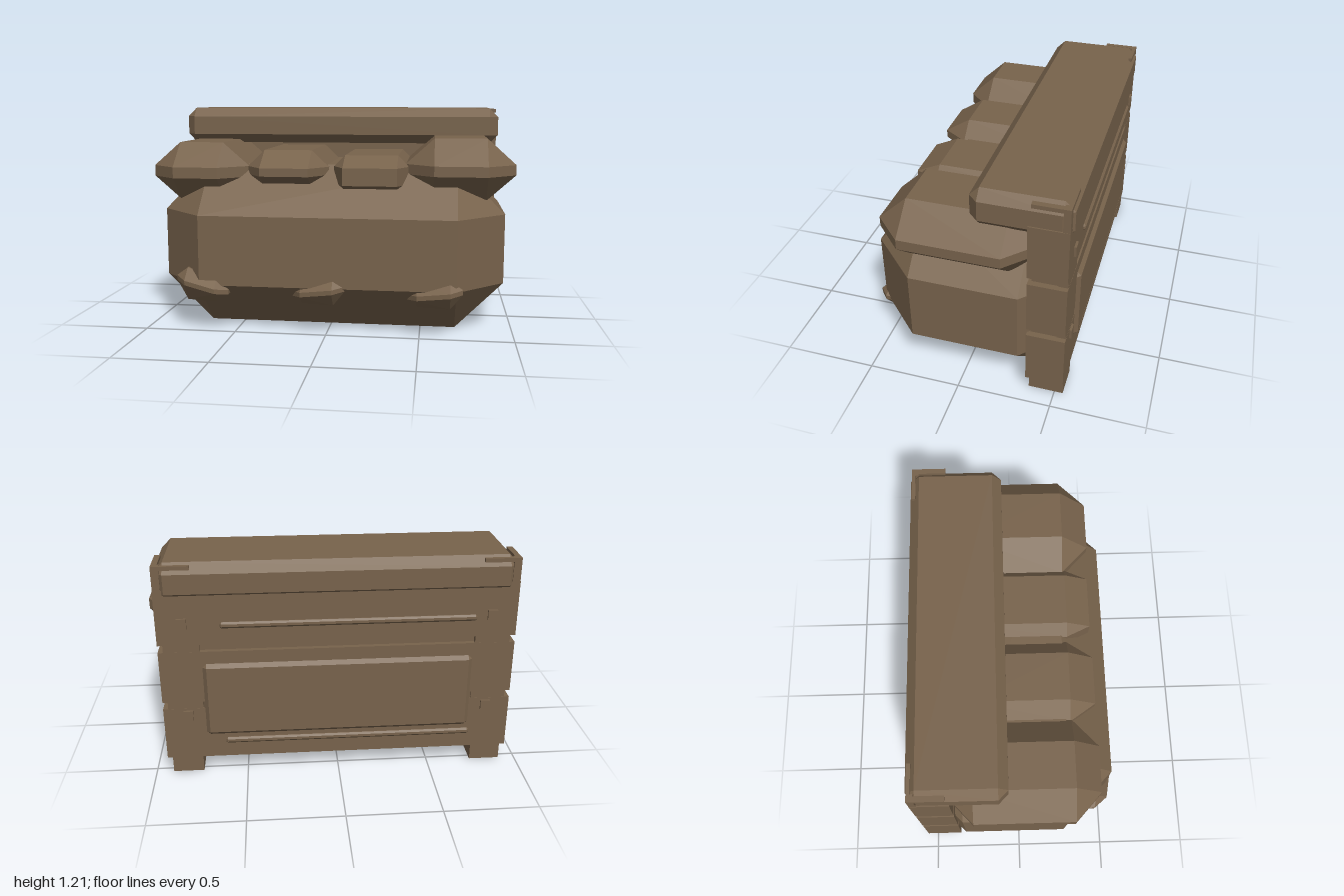
import * as THREE from 'three';
import { ConvexGeometry } from 'three/addons/geometries/ConvexGeometry.js';

export function createModel() {
  const model = new THREE.Group();
  const canvasBrown = new THREE.MeshStandardMaterial({ color: 0x78634c });
  canvasBrown.name = 'canvasBrown';

  const add = (name, geometry) => {
    const mesh = new THREE.Mesh(geometry, canvasBrown);
    mesh.name = name;
    model.add(mesh);
    return mesh;
  };

  // Plain box given by its limits
  const box = (name, x0, x1, y0, y1, z0, z1) => {
    const g = new THREE.BoxGeometry(x1 - x0, y1 - y0, z1 - z0);
    g.translate((x0 + x1) / 2, (y0 + y1) / 2, (z0 + z1) / 2);
    return add(name, g);
  };

  // Box with cut edges and corners; warp may shift each corner point
  const chamferBox = (name, [x0, x1], [y0, y1], [z0, z1], [cx, cy, cz], warp) => {
    const points = [];
    for (const i of [0, 1]) for (const j of [0, 1]) for (const k of [0, 1]) {
      const x = i ? x1 : x0, y = j ? y1 : y0, z = k ? z1 : z0;
      const xi = i ? x1 - cx : x0 + cx, yi = j ? y1 - cy : y0 + cy, zi = k ? z1 - cz : z0 + cz;
      points.push(
        new THREE.Vector3(x, yi, zi),
        new THREE.Vector3(xi, y, zi),
        new THREE.Vector3(xi, yi, z)
      );
    }
    if (warp) points.forEach(warp);
    return add(name, new ConvexGeometry(points));
  };

  // Main bag, whose back pokes through the frame as a raised panel
  chamferBox('bagBody', [-0.95, 0.95], [0, 0.9], [-0.57, 0.52], [0.26, 0.26, 0.26]);

  // Four bulging rolls lying on the bag
  const rolls = [
    [[-1.0, -0.455], [0.7, 1.02], [-0.38, 0.43], [0.15, 0.13, 0.14]],
    [[-0.465, -0.01], [0.755, 0.98], [-0.38, 0.425], [0.095, 0.09, 0.14]],
    [[0.02, 0.43], [0.74, 0.955], [-0.38, 0.42], [0.06, 0.06, 0.13]],
    [[0.41, 1.0], [0.715, 1.05], [-0.39, 0.43], [0.155, 0.14, 0.15]]
  ];
  rolls.forEach((r) => chamferBox('roll', ...r));

  // Lid along the top of the back
  chamferBox('lid', [-0.925, 0.925], [1.0, 1.205], [-0.56, -0.055], [0.05, 0.05, 0.05]);

  // Back frame: recessed core with three broad planks
  box('frameCore', -0.9, 0.9, 0.11, 1.06, -0.525, -0.365);
  for (const [y0, y1] of [[0.1, 0.4], [0.44, 0.73], [0.77, 1.07]]) {
    box('framePlank', -0.932, 0.932, y0, y1, -0.55, -0.35);
  }

  for (const s of [-1, 1]) {
    const side = (name, a, b, ...rest) =>
      box(name, Math.min(s * a, s * b), Math.max(s * a, s * b), ...rest);

    // Posts closing the ends of the gaps, and feet
    side('backPost', 0.72, 0.905, 0.11, 1.06, -0.549, -0.5);
    side('foot', 0.74, 0.905, 0.01, 0.11, -0.547, -0.363);

    // Corner brackets on the lid
    side('bracketRear', 0.74, 0.93, 1.175, 1.196, -0.55, -0.53);
    side('bracketSide', 0.9, 0.93, 1.175, 1.196, -0.55, -0.365);
    side('bracketPost', 0.89, 0.93, 1.06, 1.196, -0.55, -0.515);

    // Square bolts on the back
    for (const y of [0.36, 0.89]) side('bolt', 0.775, 0.825, y - 0.028, y + 0.028, -0.562, -0.545);
  }

  // Thin ridges across the back
  for (const y of [0.2, 0.877]) {
    chamferBox('backRidge', [-0.72, 0.61], [y - 0.017, y + 0.017], [-0.562, -0.54], [0.01, 0.01, 0.008]);
  }

  // Small faceted lumps along the lower front edge
  for (const [cx, peak] of [[-0.68, 0.03], [-0.045, 0], [0.575, 0]]) {
    chamferBox('frontLump', [cx - 0.155, cx + 0.15], [0.165, 0.31], [0.36, 0.545],
      [0.065, 0.06, 0.065], (p) => {
        const d = p.x - cx;
        p.z += 0.2 * d;
        if (p.y > 0.22) p.y += (peak ? -0.2 : 0.15) * d + peak * 0.5;
      });
  }

  return model;
}
